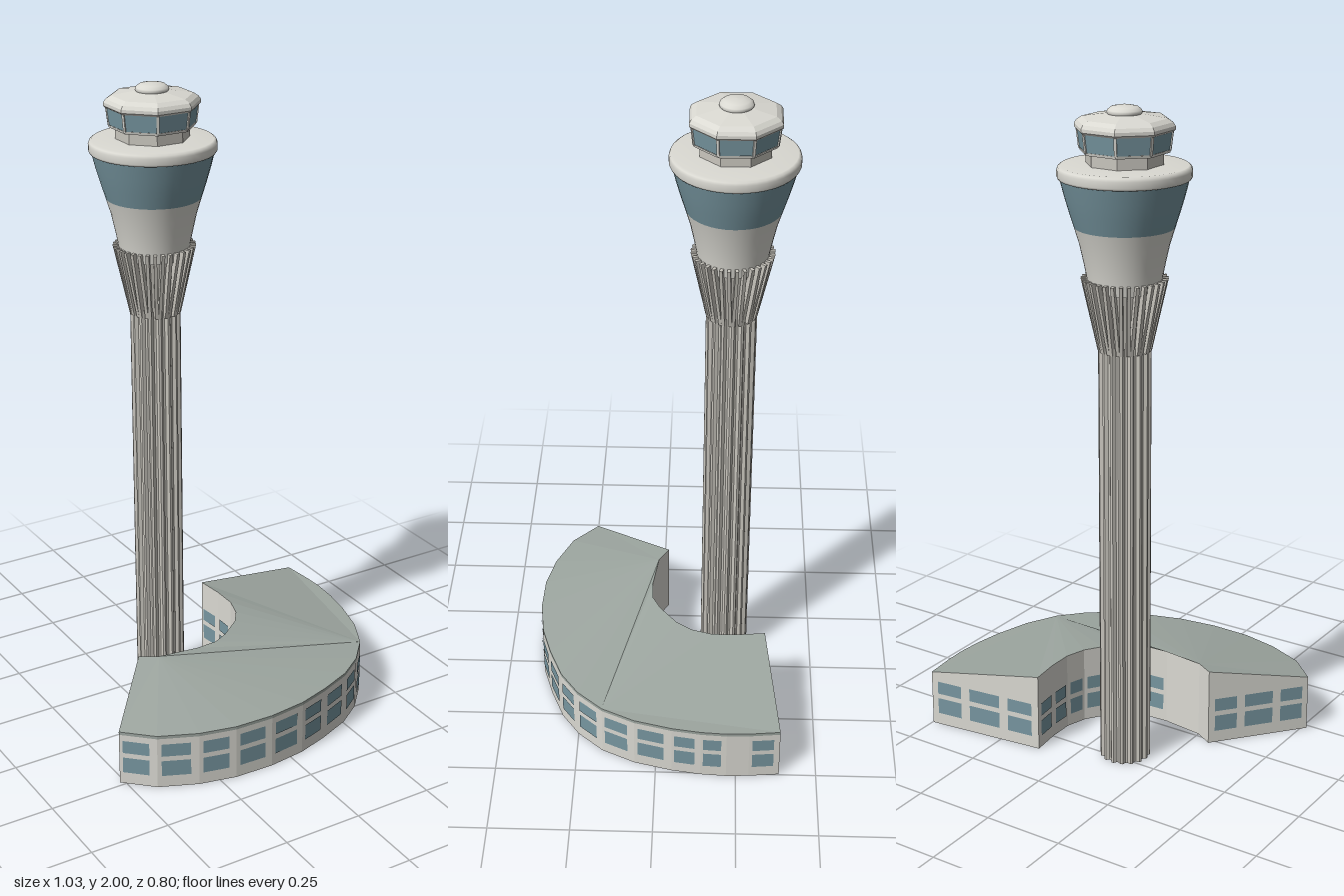
import * as THREE from 'three';

const mat = (name, color, opts = {}) => {
  const m = new THREE.MeshStandardMaterial({ color, ...opts });
  m.name = name;
  return m;
};

export function createModel() {
  const white = mat('white panel', 0xdad9d2, { side: THREE.DoubleSide });
  const concrete = mat('concrete', 0xc9c6be, { side: THREE.DoubleSide });
  const glass = mat('blue glass', 0x7796a0, { side: THREE.DoubleSide });
  const roofing = mat('grey green roof', 0x9da6a0, { side: THREE.DoubleSide });

  const model = new THREE.Group();
  model.name = 'controlTower';
  const tower = new THREE.Group();
  tower.name = 'tower';
  tower.position.set(-0.12, 0, -0.21);
  const building = new THREE.Group();
  building.name = 'baseBuilding';
  model.add(tower, building);

  const add = (parent, name, geo, material) => {
    const mesh = new THREE.Mesh(geo, material);
    mesh.name = name;
    parent.add(mesh);
    return mesh;
  };
  const flat = (geo) => {
    const g = geo.toNonIndexed();
    g.computeVertexNormals();
    return g;
  };
  const fromTriangles = (points) => {
    const g = new THREE.BufferGeometry();
    g.setAttribute('position', new THREE.Float32BufferAttribute(points.flat(), 3));
    g.computeVertexNormals();
    return g;
  };
  const quad = (a, b, c, d) => [a, b, c, a, c, d];
  const vec = (pts) => pts.map(([r, y]) => new THREE.Vector2(r, y));
  const round = (pts) => new THREE.LatheGeometry(vec(pts), 40);
  // Octagonal lathe, radii measured to the flat sides
  const octagon = (pts) => flat(new THREE.LatheGeometry(
    vec(pts.map(([r, y]) => [r / Math.cos(Math.PI / 8), y])), 8, Math.PI / 8));

  // Fluted hollow shaft
  const ribs = 16;
  const shaft = new THREE.CylinderGeometry(1, 1, 1.32, ribs * 4, 1, true);
  const sp = shaft.attributes.position;
  for (let i = 0; i < sp.count; i++) {
    const r = (i % (ribs * 4 + 1)) % 4 < 2 ? 0.077 : 0.068;
    sp.setXYZ(i, sp.getX(i) * r, sp.getY(i) + 0.66, sp.getZ(i) * r);
  }
  add(tower, 'flutedShaft', flat(shaft), concrete);

  // Flared collar with pairs of spreading fins
  add(tower, 'collarCore', round([[0.064, 1.3], [0.08, 1.4], [0.106, 1.51]]), concrete);
  const finTriangles = [];
  for (let i = 0; i < ribs; i++) {
    for (const side of [-1, 1]) {
      const a = (i / ribs) * Math.PI * 2;
      const corner = (r, y, spread, w) => {
        const t = a + side * spread;
        return [r * Math.sin(t) + w * Math.cos(t), y, r * Math.cos(t) - w * Math.sin(t)];
      };
      const ring = (rIn, rOut, y, spread) => [
        corner(rIn, y, spread, -0.005), corner(rOut, y, spread, -0.005),
        corner(rOut, y, spread, 0.005), corner(rIn, y, spread, 0.005)];
      const lo = ring(0.06, 0.078, 1.3, 0.06);
      const hi = ring(0.1, 0.125, 1.512, 0.1);
      for (let k = 0; k < 4; k++) {
        const n = (k + 1) % 4;
        finTriangles.push(...quad(lo[k], lo[n], hi[n], hi[k]));
      }
      finTriangles.push(...quad(...hi), ...quad(lo[3], lo[2], lo[1], lo[0]));
    }
  }
  add(tower, 'collarFins', fromTriangles(finTriangles), concrete);

  // Flared pod, glazed band and rounded rim
  add(tower, 'podBody', round([[0.104, 1.48], [0.109, 1.52], [0.117, 1.56], [0.128, 1.61], [0.143, 1.66]]), white);
  add(tower, 'podGlass', round([[0.143, 1.66], [0.157, 1.705], [0.17, 1.75], [0.182, 1.798]]), glass);
  add(tower, 'podRim', round([[0.18, 1.796], [0.187, 1.798], [0.19, 1.804], [0.19, 1.822],
    [0.187, 1.83], [0.18, 1.835], [0.1, 1.838], [0, 1.838]]), white);

  // Octagonal cab
  add(tower, 'cabNeck', octagon([[0.102, 1.835], [0.102, 1.878]]), concrete);
  add(tower, 'cabFloor', octagon([[0, 1.872], [0.118, 1.872], [0.12, 1.88]]), white);
  add(tower, 'cabGlass', octagon([[0.119, 1.88], [0.125, 1.932]]), glass);
  for (let i = 0; i < 8; i++) {
    const post = new THREE.BoxGeometry(0.008, 0.054, 0.008);
    post.rotateX(0.12);
    post.translate(0, 1.905, 0.13);
    post.rotateY((i + 0.5) * Math.PI / 4);
    add(tower, 'cabPost', post, white);
  }
  add(tower, 'cabRoof', octagon([[0, 1.93], [0.127, 1.93], [0.132, 1.936], [0.132, 1.946],
    [0.126, 1.956], [0.112, 1.966], [0.05, 1.976], [0, 1.976]]), white);
  add(tower, 'cabDome', round([[0.046, 1.974], [0.05, 1.98], [0.048, 1.987], [0.038, 1.995],
    [0.02, 1.999], [0, 2]]), white);

  // Plan of the curved building as x, z pairs
  const outer = [[-0.515, 0.235], [-0.43, 0.316], [-0.314, 0.367], [-0.2, 0.393], [-0.075, 0.397],
    [0.046, 0.382], [0.15, 0.35], [0.256, 0.307], [0.338, 0.25], [0.41, 0.17], [0.46, 0.067],
    [0.491, -0.05], [0.505, -0.14], [0.51, -0.22], [0.507, -0.29], [0.497, -0.385]];
  const inner = [[-0.305, 0.02 * -1], [-0.25, 0.012], [-0.12, 0.029], [-0.05, 0.025], [0, 0],
    [0.07, -0.055], [0.105, -0.105], [0.125, -0.17], [0.125, -0.25], [0.115, -0.34]];
  const eave = 0.178, ridge = 0.245, wallTop = 0.168;
  const at = ([x, z], y) => [x, y, z];
  const walls = [], fascia = [], windows = [];

  // Two rows of thin window faces between fractions t0 and t1 of a wall
  const addWindows = (p, q, t0, t1) => {
    const dx = q[0] - p[0], dz = q[1] - p[1], len = Math.hypot(dx, dz), off = 0.003;
    const pt = (t) => [p[0] + dx * t - dz / len * off, p[1] + dz * t + dx / len * off];
    const a = pt(t0), b = pt(t1);
    for (const [y0, y1] of [[0.04, 0.092], [0.108, 0.15]]) {
      windows.push(...quad(at(a, y0), at(b, y0), at(b, y1), at(a, y1)));
    }
  };
  const addWall = (p, q, yp, yq) => walls.push(...quad(at(p, 0), at(q, 0), at(q, yq), at(p, yp)));

  // Outer curve, with one blank bay
  const lastO = outer.length - 1, lastI = inner.length - 1;
  for (let i = 0; i < lastO; i++) {
    const p = outer[i], q = outer[i + 1];
    addWall(p, q, wallTop, wallTop);
    fascia.push(...quad(at(p, wallTop), at(q, wallTop), at(q, eave), at(p, eave)));
    if (i !== lastO - 2) addWindows(p, q, 0.1, 0.8);
  }
  // Inner curve
  for (let i = lastI; i > 0; i--) {
    addWall(inner[i], inner[i - 1], ridge, ridge);
    if (i > 2) addWindows(inner[i], inner[i - 1], 0.15, 0.85);
  }
  // End walls
  addWall(outer[lastO], inner[lastI], eave, ridge);
  addWall(inner[0], outer[0], ridge, eave);
  for (const [t0, t1] of [[0.06, 0.28], [0.36, 0.64], [0.72, 0.94]]) {
    addWindows(outer[lastO], inner[lastI], t0, t1);
    addWindows(inner[0], outer[0], t0, t1);
  }

  // Folded roof: two sloping fields meeting at a diagonal crease
  const O = outer.map((p) => at(p, eave)), I = inner.map((p) => at(p, ridge));
  const fold = 9, roof = [I[1], I[0], O[0]];
  for (let i = 0; i < fold; i++) roof.push(I[1], O[i], O[i + 1]);
  for (let i = 1; i < lastI; i++) roof.push(O[fold], I[i + 1], I[i]);
  roof.push(I[lastI], O[fold], O[lastO]);
  for (let i = fold; i < lastO - 1; i++) roof.push(O[lastO], O[i], O[i + 1]);

  add(building, 'walls', fromTriangles(walls), white);
  add(building, 'windows', fromTriangles(windows), glass);
  add(building, 'roofEdge', fromTriangles(fascia), roofing);
  add(building, 'roof', fromTriangles(roof), roofing);

  return model;
}
